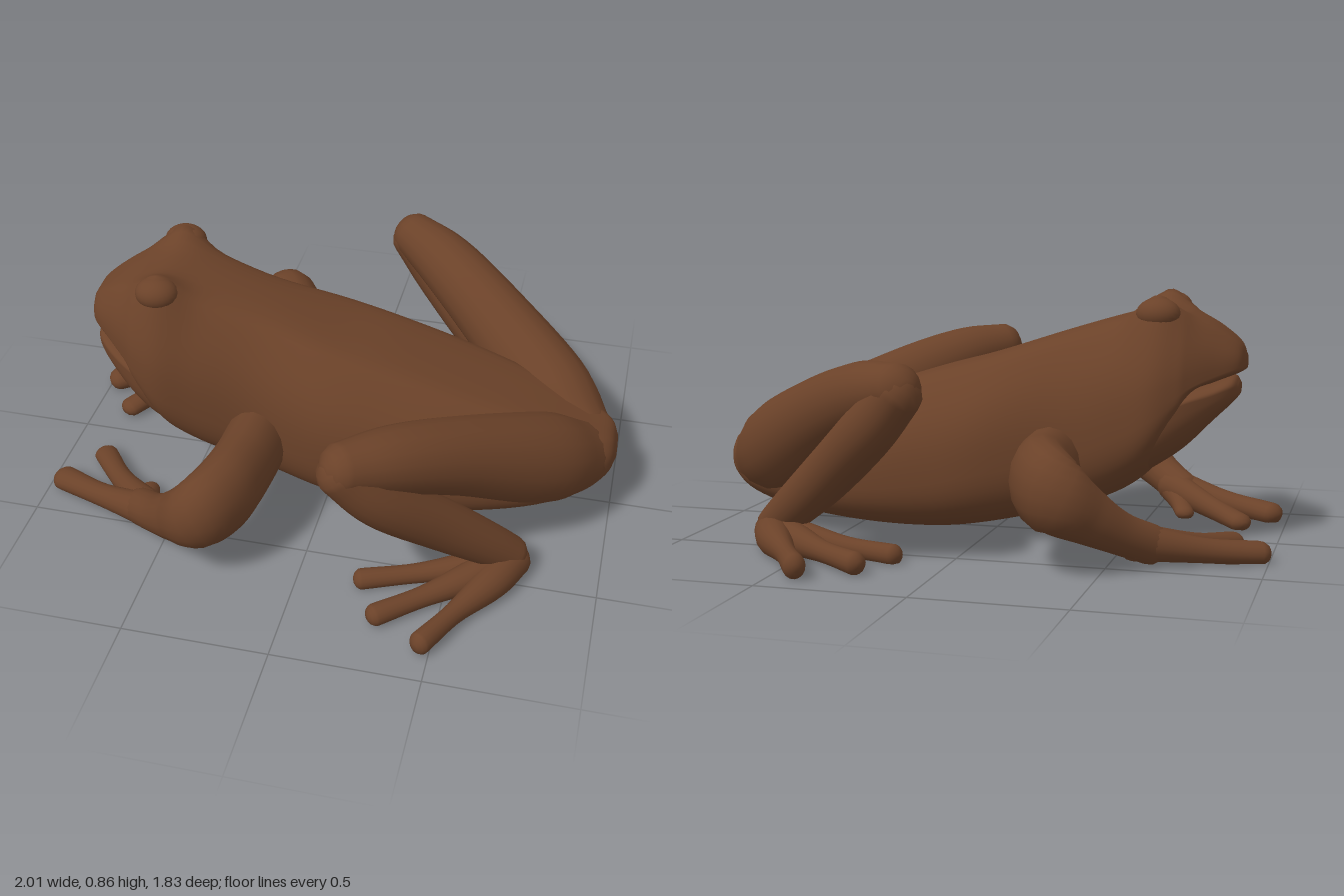
import * as THREE from 'three';

const skinMaterial = new THREE.MeshStandardMaterial({ color: 0x6b4229 });
const V = (x, y, z) => new THREE.Vector3(x, y, z);

// Skins a list of closed rings; both ends are pulled shut at their centres.
function skin(rings) {
  const n = rings[0].length;
  const closed = (ring) => {
    const c = V(0, 0, 0);
    ring.forEach((p) => c.addScaledVector(p, 1 / n));
    return ring.map(() => c);
  };
  const all = [closed(rings[0]), ...rings, closed(rings[rings.length - 1])];
  const index = [];
  for (let i = 0; i < all.length - 1; i++) {
    for (let j = 0; j < n; j++) {
      const a = i * n + j, b = i * n + (j + 1) % n;
      index.push(a, b, a + n, b, b + n, a + n);
    }
  }
  const geometry = new THREE.BufferGeometry().setFromPoints(all.flat());
  geometry.setIndex(index);
  geometry.computeVertexNormals();
  return geometry;
}

function add(parent, name, geometry) {
  const mesh = new THREE.Mesh(geometry, skinMaterial);
  mesh.name = name;
  parent.add(mesh);
  return mesh;
}

const spline = (points) => new THREE.CatmullRomCurve3(points, false, 'catmullrom', 0.5);
const bell = (v, width) => Math.exp(-((v / width) ** 2));

// Trunk along x from stations [x, bottom, top, height of widest point, half width].
function trunk(stations, ridge, brow) {
  const a = spline(stations.map((s) => V(s[0], s[1], s[2])));
  const b = spline(stations.map((s) => V(s[3], s[4], 0)));
  const rings = [], steps = (stations.length - 1) * 5, sides = 56;
  const soft = (v, e) => Math.sign(v) * Math.abs(v) ** e;
  for (let i = 0; i <= steps; i++) {
    const { x, y: bottom, z: top } = a.getPoint(i / steps);
    const { x: mid, y: w } = b.getPoint(i / steps);
    const ring = [];
    for (let j = 0; j < sides; j++) {
      const t = j / sides * Math.PI * 2, c = Math.cos(t), s = -Math.sin(t);
      const e = s > 0 ? 0.92 : 0.68; // sloping back, fuller belly
      const z = soft(c, e);
      let y = mid + soft(s, e) * (s > 0 ? top - mid : mid - bottom);
      if (s > 0) {
        // paired ridges with a shallow groove between, and brows over the eyes
        y += ridge * w * (bell(Math.abs(z) - 0.55, 0.16) - 0.6 * bell(z, 0.28));
        y += brow * bell(x + 0.595, 0.09) * bell(Math.abs(z * w) - 0.195, 0.075);
      }
      ring.push(V(x, y, z * w));
    }
    rings.push(ring);
  }
  return skin(rings);
}

// Tapered round-ended limb through points [x, y, z, radius, vertical stretch].
function limb(points, side) {
  const path = spline(points.map((p) => V(p[0], p[1], p[2] * side)));
  const size = spline(points.map((p) => V(p[3], p[4] ?? 1, 0)));
  const rings = [], steps = (points.length - 1) * 6, sides = 16;
  const ring = (u, shift, scale) => {
    const t = path.getTangent(u), { x: r, y: stretch } = size.getPoint(u);
    const c = path.getPoint(u).addScaledVector(t, shift * r);
    const right = t.clone().cross(V(0, 1, 0)).normalize();
    const down = t.clone().cross(right);
    const out = [];
    for (let j = 0; j < sides; j++) {
      const a = j / sides * Math.PI * 2;
      const d = right.clone().multiplyScalar(Math.cos(a)).addScaledVector(down, Math.sin(a)).multiplyScalar(r * scale);
      d.y *= stretch;
      const p = c.clone().add(d);
      p.y = Math.max(p.y, 0.004);
      out.push(p);
    }
    rings.push(out);
  };
  const caps = [0.2, 0.5, 0.8];
  caps.forEach((k) => ring(0, -Math.cos(k * Math.PI / 2) * 0.8, Math.sin(k * Math.PI / 2)));
  for (let i = 0; i <= steps; i++) ring(i / steps, 0, 1);
  caps.reverse().forEach((k) => ring(1, Math.cos(k * Math.PI / 2) * 0.8, Math.sin(k * Math.PI / 2)));
  return skin(rings);
}

const BODY = [
  [-0.88, 0.605, 0.65, 0.625, 0.04], [-0.855, 0.592, 0.7, 0.615, 0.11],
  [-0.78, 0.565, 0.76, 0.59, 0.185], [-0.71, 0.535, 0.795, 0.56, 0.25],
  [-0.665, 0.43, 0.81, 0.53, 0.285], [-0.58, 0.27, 0.82, 0.5, 0.315],
  [-0.45, 0.17, 0.79, 0.44, 0.3], [-0.25, 0.1, 0.73, 0.36, 0.285],
  [0, 0.045, 0.65, 0.31, 0.335], [0.2, 0.022, 0.595, 0.26, 0.335],
  [0.45, 0.03, 0.515, 0.22, 0.32], [0.7, 0.06, 0.43, 0.21, 0.265],
  [0.88, 0.105, 0.36, 0.23, 0.19], [0.97, 0.165, 0.32, 0.24, 0.115], [1.0, 0.22, 0.27, 0.245, 0.05],
];
const JAW = [
  [-0.858, 0.515, 0.555, 0.54, 0.06], [-0.835, 0.488, 0.578, 0.545, 0.13],
  [-0.77, 0.425, 0.565, 0.525, 0.2], [-0.68, 0.335, 0.545, 0.5, 0.262],
  [-0.58, 0.265, 0.52, 0.45, 0.29], [-0.45, 0.19, 0.45, 0.35, 0.26],
];

const LIMBS = {
  thigh: [[0.86, 0.235, 0.06, 0.125], [0.74, 0.31, 0.2, 0.15, 1.08], [0.5, 0.455, 0.42, 0.13, 1.05], [0.3, 0.55, 0.6, 0.113], [0.15, 0.59, 0.725, 0.085]],
  shin: [[0.145, 0.58, 0.725, 0.082], [0.27, 0.44, 0.675, 0.092], [0.45, 0.27, 0.56, 0.088], [0.6, 0.14, 0.48, 0.075], [0.68, 0.07, 0.44, 0.066]],
  outerToe: [[0.69, 0.05, 0.44, 0.064], [0.63, 0.05, 0.57, 0.06], [0.53, 0.046, 0.73, 0.035, 1.1], [0.44, 0.046, 0.885, 0.037, 1.15]],
  middleToe: [[0.69, 0.05, 0.44, 0.064], [0.57, 0.05, 0.55, 0.056], [0.42, 0.042, 0.67, 0.036], [0.275, 0.04, 0.785, 0.038]],
  innerToe: [[0.69, 0.05, 0.44, 0.06], [0.56, 0.05, 0.5, 0.05], [0.38, 0.036, 0.56, 0.034], [0.2, 0.032, 0.62, 0.036]],
  arm: [[-0.24, 0.28, 0.2, 0.11, 1.25], [-0.255, 0.28, 0.4, 0.108, 1.32], [-0.285, 0.28, 0.56, 0.108, 1.38], [-0.35, 0.26, 0.655, 0.1, 1.35],
    [-0.44, 0.19, 0.605, 0.083, 1.15], [-0.53, 0.125, 0.535, 0.07], [-0.62, 0.075, 0.455, 0.066]],
  outerFinger: [[-0.57, 0.09, 0.49, 0.064], [-0.78, 0.052, 0.4, 0.042], [-0.955, 0.033, 0.315, 0.05, 0.8]],
  innerFinger: [[-0.57, 0.09, 0.48, 0.06], [-0.74, 0.047, 0.3, 0.04], [-0.855, 0.03, 0.15, 0.043, 0.75]],
  thumb: [[-0.56, 0.085, 0.49, 0.05], [-0.61, 0.045, 0.39, 0.037], [-0.64, 0.022, 0.3, 0.035, 0.7]],
};

export function createModel() {
  const model = new THREE.Group();
  model.name = 'frog';
  // the whole animal sits turned slightly about the vertical
  const frog = new THREE.Group();
  frog.name = 'posedFrog';
  frog.rotation.y = 0.035;
  frog.position.z = 0.008;
  model.add(frog);

  add(frog, 'body', trunk(BODY, 0.05, 0.075));
  add(frog, 'lowerJaw', trunk(JAW, 0, 0));

  for (const side of [1, -1]) {
    const label = side > 0 ? 'left' : 'right';
    // eyes bulging sideways from under the brows
    const eye = add(frog, label + 'Eye', new THREE.SphereGeometry(1, 24, 16));
    eye.scale.set(0.075, 0.055, 0.065);
    eye.position.set(-0.595, 0.798, 0.18 * side);
    // legs, toes, arms and fingers
    for (const [name, points] of Object.entries(LIMBS)) {
      add(frog, label + name[0].toUpperCase() + name.slice(1), limb(points, side));
    }
  }
  return model;
}
